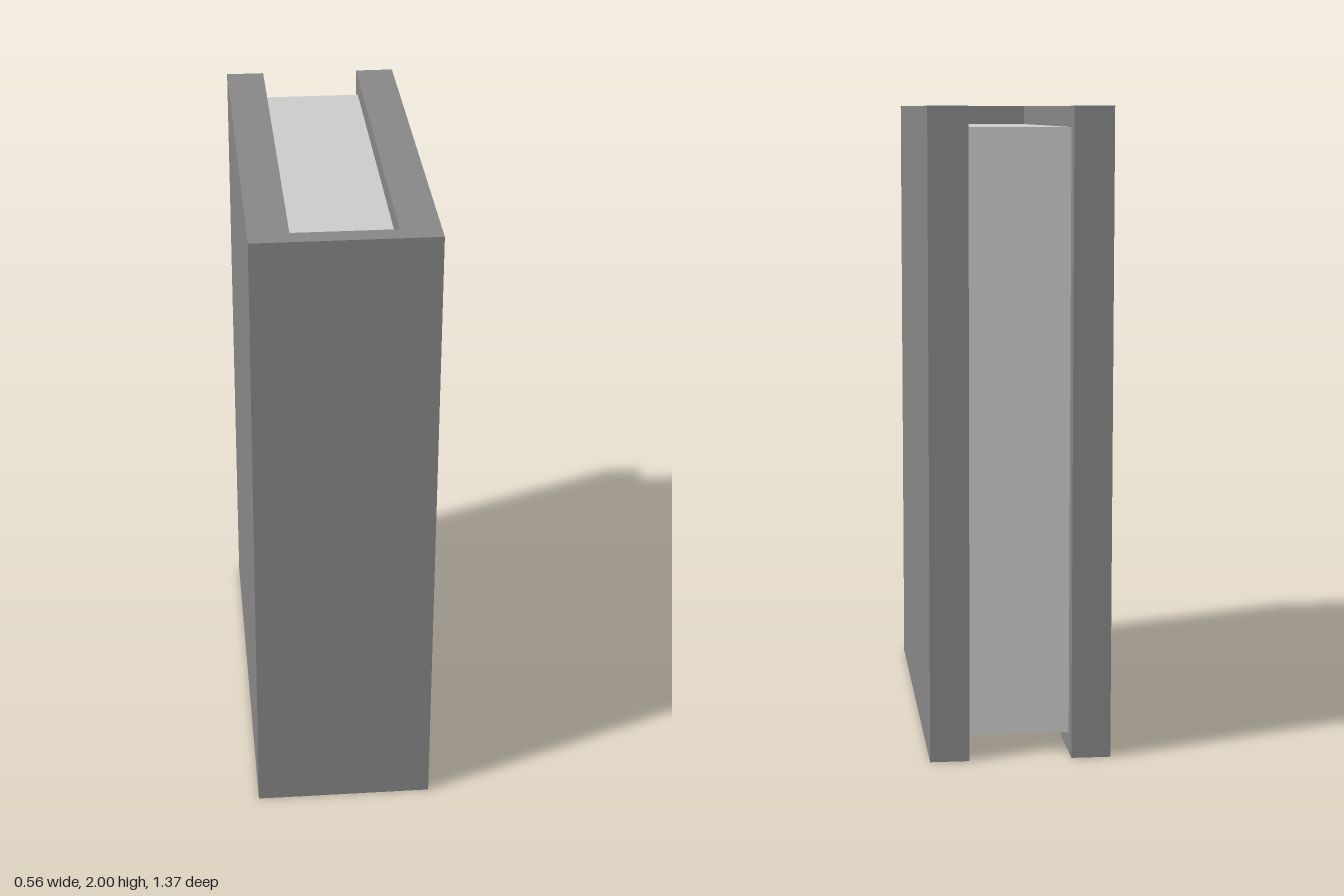
import * as THREE from 'three';

const W = 0.28, D = 0.685, H = 2; // half width, half depth, height
const INNER = 0.158, INSET = 0.063; // half page thickness, margin around the pages

export function createModel() {
  const coverGrey = new THREE.MeshStandardMaterial({ color: 0x888888 });
  coverGrey.name = 'coverGrey';
  const pageGrey = new THREE.MeshStandardMaterial({ color: 0xcccccc });
  pageGrey.name = 'pageGrey';

  const book = new THREE.Group();
  book.name = 'book';

  // Cover: a U-shaped plan (two boards and the spine at the front), extruded upward
  const plan = new THREE.Shape([
    [-W, -D], [W, -D], [W, D], [INNER, D],
    [INNER, -D + INSET], [-INNER, -D + INSET], [-INNER, D], [-W, D],
  ].map(([x, y]) => new THREE.Vector2(x, y)));
  const coverGeometry = new THREE.ExtrudeGeometry(plan, { depth: H, bevelEnabled: false });
  coverGeometry.rotateX(-Math.PI / 2);
  const cover = new THREE.Mesh(coverGeometry, coverGrey);
  cover.name = 'cover';
  book.add(cover);

  // Page block, set back at the top, bottom and open edge
  const pages = new THREE.Mesh(
    new THREE.BoxGeometry(2 * INNER, H - 2 * INSET, 2 * (D - INSET)),
    pageGrey,
  );
  pages.name = 'pages';
  pages.position.y = H / 2;
  book.add(pages);

  return book;
}
